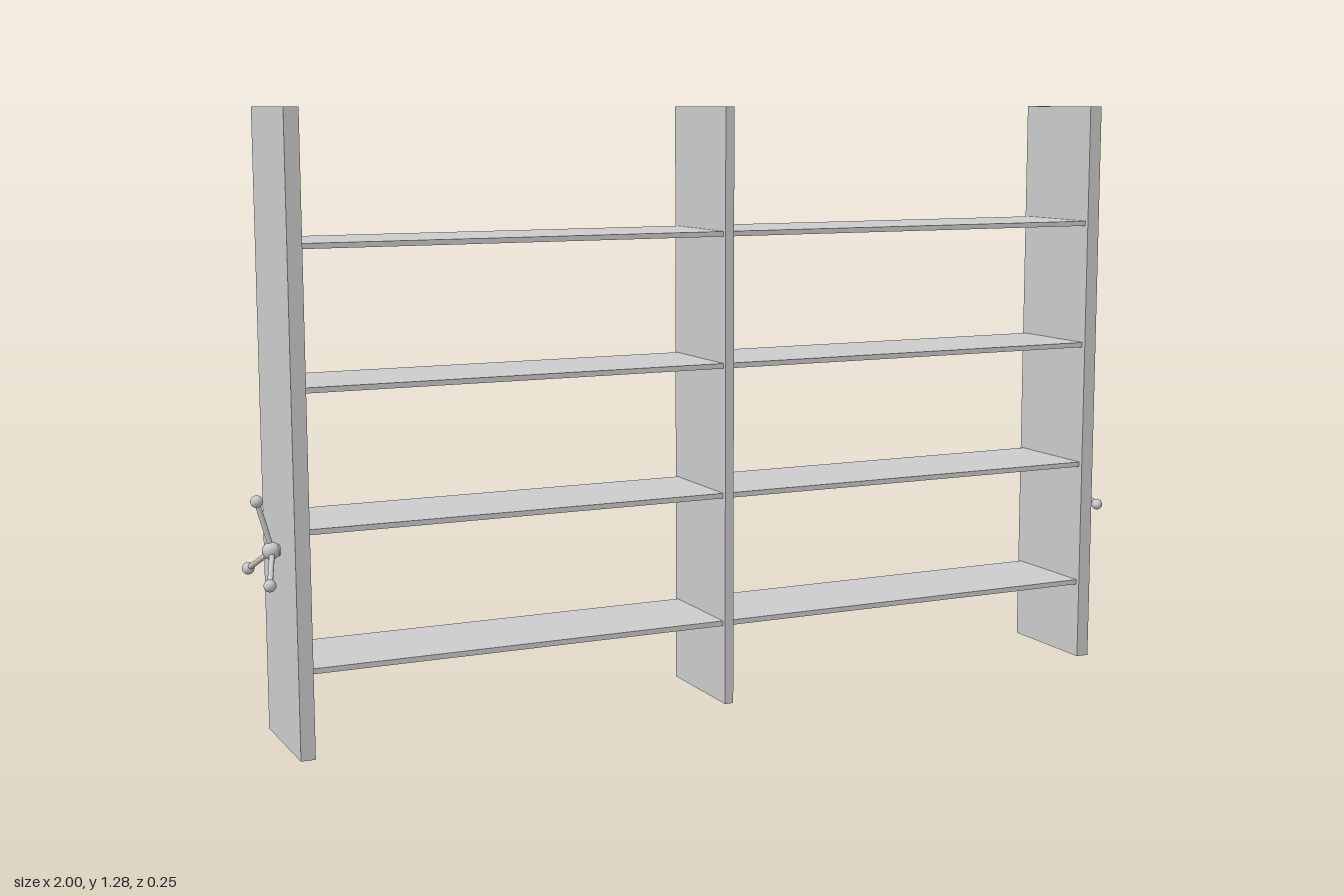
import * as THREE from 'three';

const material = new THREE.MeshStandardMaterial({ color: 0xcccccc });
const HEIGHT = 1.283, DEPTH = 0.25, SIDE_X = 0.93, SIDE_T = 0.03, MID_T = 0.02;

function add(parent, name, geometry, x = 0, y = 0, z = 0) {
  const mesh = new THREE.Mesh(geometry, material);
  mesh.name = name;
  mesh.position.set(x, y, z);
  parent.add(mesh);
  return mesh;
}

// Three-spoke handwheel pointing along +x, with its base at the origin
function createHandwheel(name) {
  const wheel = new THREE.Group();
  wheel.name = name;
  const shaft = add(wheel, 'shaft', new THREE.CylinderGeometry(0.012, 0.012, 0.02, 24), 0.008);
  shaft.rotation.z = Math.PI / 2;
  add(wheel, 'hub', new THREE.SphereGeometry(0.018, 24, 16), 0.016);

  const start = new THREE.Vector3(0.014, 0, 0);
  for (let i = 0; i < 3; i++) {
    const a = Math.PI / 2 + (i * Math.PI * 2) / 3;
    const tip = new THREE.Vector3(0.0425, 0.102 * Math.sin(a), 0.102 * Math.cos(a));
    const dir = tip.clone().sub(start);
    const spoke = add(wheel, 'spoke', new THREE.CylinderGeometry(0.0055, 0.0055, dir.length(), 16));
    spoke.position.copy(start).add(tip).multiplyScalar(0.5);
    spoke.quaternion.setFromUnitVectors(new THREE.Vector3(0, 1, 0), dir.normalize());
    add(wheel, 'knob', new THREE.SphereGeometry(0.0125, 20, 14), tip.x, tip.y, tip.z);
  }
  return wheel;
}

export function createModel() {
  const model = new THREE.Group();
  model.name = 'shelvingUnit';

  // Upright panels
  const side = new THREE.BoxGeometry(SIDE_T, HEIGHT, DEPTH);
  add(model, 'leftPanel', side, SIDE_X, HEIGHT / 2);
  add(model, 'rightPanel', side, -SIDE_X, HEIGHT / 2);
  add(model, 'middlePanel', new THREE.BoxGeometry(MID_T, HEIGHT, DEPTH), 0, HEIGHT / 2);

  // Thin shelves in both bays
  const inner = SIDE_X - SIDE_T / 2, width = inner - MID_T / 2;
  const shelf = new THREE.BoxGeometry(width, 0.011, 0.23);
  for (const s of [-1, 1]) {
    for (let i = 0; i < 4; i++) {
      add(model, 'shelf', shelf, s * (MID_T / 2 + width / 2), 0.177 + i * 0.28);
    }
  }

  // Handwheels on the outer faces
  for (const s of [-1, 1]) {
    const wheel = createHandwheel(s > 0 ? 'leftHandwheel' : 'rightHandwheel');
    wheel.position.set(s * (SIDE_X + SIDE_T / 2), 0.403, 0);
    if (s < 0) wheel.rotation.y = Math.PI;
    model.add(wheel);
  }
  return model;
}
